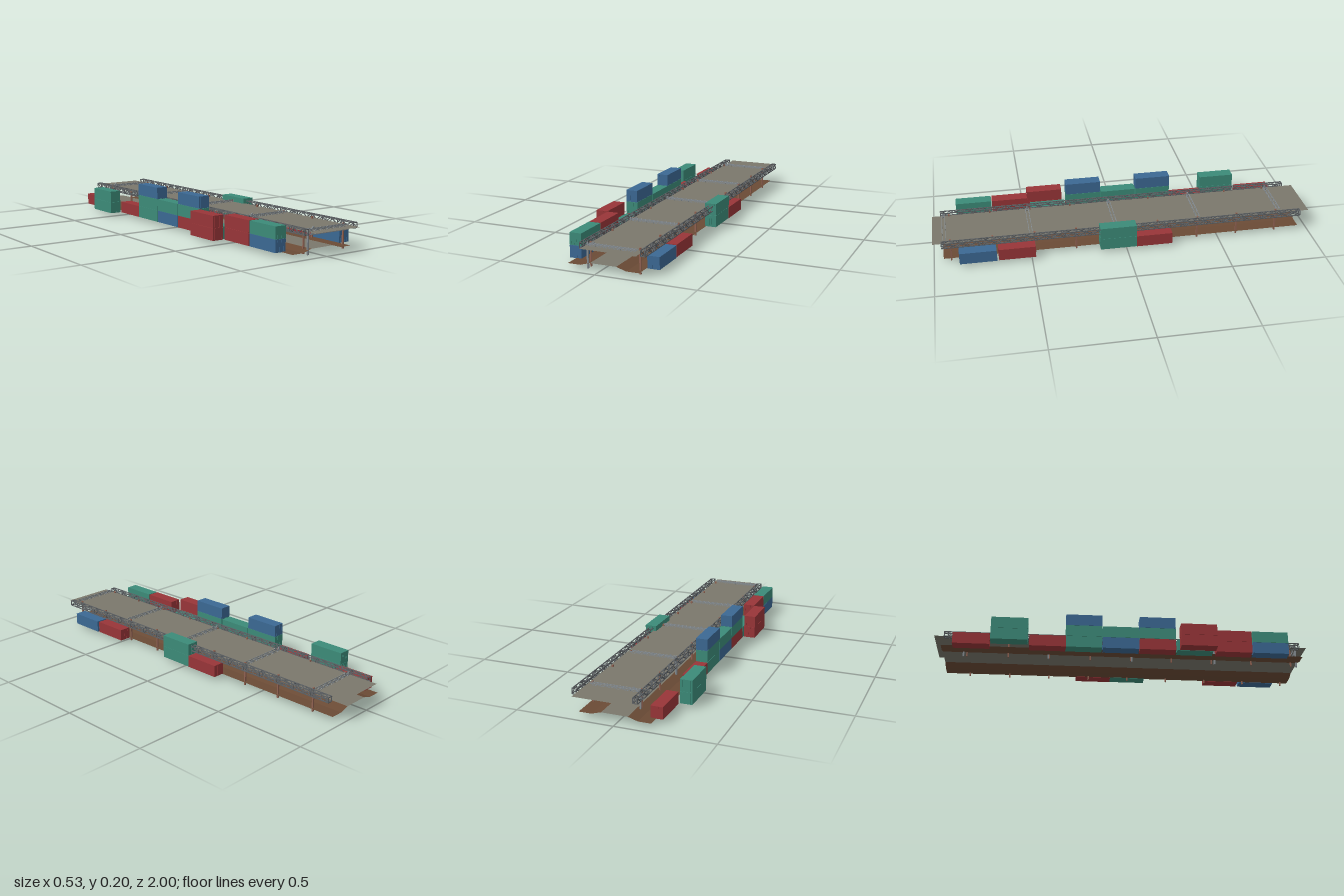
import * as THREE from 'three';
import { mergeGeometries } from 'three/addons/utils/BufferGeometryUtils.js';

const mat = (name, color, side = THREE.FrontSide) => {
  const m = new THREE.MeshStandardMaterial({ color, side });
  m.name = name;
  return m;
};

const V = (x, y, z) => new THREE.Vector3(x, y, z);

// Straight bar with a rectangular section between two points
function bar(a, b, w, d = w) {
  const dir = b.clone().sub(a);
  const g = new THREE.BoxGeometry(w, d, dir.length());
  const m = new THREE.Matrix4().lookAt(b, a, Math.abs(dir.y) > 0.99 * dir.length() ? V(0, 0, 1) : V(0, 1, 0));
  m.setPosition(a.clone().add(b).multiplyScalar(0.5));
  return g.applyMatrix4(m);
}

// Zigzag web between two parallel chords
function web(bars, a0, a1, b0, b1, bays, t, cross = false) {
  for (let i = 0; i < bays; i++) {
    const p = i / bays, q = (i + 1) / bays;
    const up = [a0.clone().lerp(a1, p), b0.clone().lerp(b1, q)];
    const down = [b0.clone().lerp(b1, p), a0.clone().lerp(a1, q)];
    if (cross || i % 2 === 0) bars.push(bar(...up, t));
    if (cross || i % 2 === 1) bars.push(bar(...down, t));
  }
}

export function createModel() {
  const root = new THREE.Group();
  const concrete = mat('concrete', 0x7a776b, THREE.DoubleSide);
  const earth = mat('earth', 0x6a4a35, THREE.DoubleSide);
  const steel = mat('steel', 0x858c91);
  const darkSteel = mat('darkSteel', 0x5c6063);
  const rust = mat('rust', 0x8f6151);
  const red = mat('red', 0x983538);
  const green = mat('green', 0x3c8a78);
  const blue = mat('blue', 0x3b6893);

  const add = (name, geo, material) => {
    const m = new THREE.Mesh(geo, material);
    m.name = name;
    root.add(m);
    return m;
  };

  // Flat sheet running along z between two points of the cross-section
  const sheet = (name, x0, y0, x1, y1, length, material) => {
    const g = new THREE.PlaneGeometry(Math.hypot(x1 - x0, y1 - y0), length);
    g.rotateX(-Math.PI / 2).rotateZ(Math.atan2(y1 - y0, x1 - x0));
    g.translate((x0 + x1) / 2, (y0 + y1) / 2, 0);
    return add(name, g, material);
  };

  // Roof slab and the raised floor with its earth banks
  sheet('roof', -0.073, 0.115, 0.207, 0.115, 2, concrete);
  const ground = [[-0.165, 0.02], [-0.1, 0.02], [-0.05, 0.035], [0.085, 0.035], [0.135, 0.02], [0.2, 0.02]];
  for (let i = 0; i < ground.length - 1; i++) {
    sheet(i === 2 ? 'floor' : 'groundBank', ...ground[i], ...ground[i + 1], 1.9, i === 2 ? concrete : earth);
  }

  // Long box trusses along both roof edges
  for (const [name, x0, x1] of [['rightSideTruss', -0.098, -0.074], ['leftSideTruss', 0.209, 0.233]]) {
    const bars = [], z0 = -0.945, z1 = 0.955;
    const corners = [[x0, 0.103], [x1, 0.103], [x1, 0.129], [x0, 0.129]];
    corners.forEach(([x, y], i) => {
      const [u, v] = corners[(i + 1) % 4];
      bars.push(bar(V(x, y, z0), V(x, y, z1), 0.004));
      web(bars, V(x, y, z0), V(x, y, z1), V(u, v, z0), V(u, v, z1), 54, 0.0035);
      for (let k = 0; k <= 18; k++) {
        const z = z0 + (z1 - z0) * k / 18;
        bars.push(bar(V(x, y, z), V(u, v, z), 0.0035));
      }
    });
    add(name, mergeGeometries(bars), darkSteel);
  }

  // Cross trusses, each with a lattice column and a brace
  for (const z of [-0.84, -0.395, 0.05, 0.495, 0.94]) {
    const bars = [], xa = -0.06, xb = 0.187;
    for (const dz of [-0.008, 0.008]) {
      const zz = z + dz;
      for (const y of [0.1, 0.125]) bars.push(bar(V(xa, y, zz), V(xb, y, zz), 0.002, 0.004));
      web(bars, V(xa, 0.1, zz), V(xb, 0.1, zz), V(xa, 0.125, zz), V(xb, 0.125, zz), 6, 0.003, true);
      for (let i = 1; i < 6; i++) {
        const x = xa + (xb - xa) * i / 6;
        bars.push(bar(V(x, 0.1, zz), V(x, 0.125, zz), 0.003));
      }
    }
    add('crossTruss', mergeGeometries(bars), darkSteel === null ? darkSteel : steel);
    add('latticeColumn', bar(V(-0.0645, 0.005, z), V(-0.0645, 0.131, z), 0.008), steel);
    add('columnBrace', bar(V(-0.062, 0.108, z), V(-0.03, 0.135, z), 0.006), steel);
  }

  // Rusty posts in two rows
  for (let i = 0; i < 9; i++) {
    const z = 0.91 - i * 0.2165;
    add('leftPost', bar(V(0.187, 0.001, z), V(0.187, 0.126, z), 0.008), rust);
    add('rightPost', bar(V(-0.0645, 0.006, z), V(-0.0645, 0.126, z), 0.007), rust);
  }

  // Freight boxes: x centre, z centre, colours from the ground up
  const W = 0.062, H = 0.0615, L = 0.19;
  const stacks = [
    [-0.168, -0.795, [red]],
    [-0.168, -0.4, [red]],
    [-0.168, -0.212, [green, green, blue]],
    [-0.168, -0.018, [blue, green]],
    [-0.168, 0.176, [red, green, blue]],
    [-0.168, 0.372, [green]],
    [-0.168, 0.58, [red, red]],
    [-0.168, 0.775, [blue, green]],
    [-0.234, -0.597, [green, green]],
    [-0.234, 0.385, [red, red]],
    [0.224, -0.145, [red]],
    [0.222, 0.045, [green, green]],
    [0.23, 0.575, [red]],
    [0.233, 0.775, [blue]],
  ];
  for (const [x, z, colours] of stacks) {
    colours.forEach((material, level) => {
      const y = 0.0185 + H / 2 + level * 0.0625;
      const parts = [new THREE.BoxGeometry(W, H, L)];
      // Door rods on both ends
      for (const s of [-1, 1]) for (const dx of [-0.02, -0.007, 0.007, 0.02]) {
        parts.push(new THREE.BoxGeometry(0.0015, H * 0.9, 0.0015).translate(dx, 0, s * L / 2));
      }
      add('freightBox', mergeGeometries(parts).translate(x, y, z), material);
    });
  }
  return root;
}
